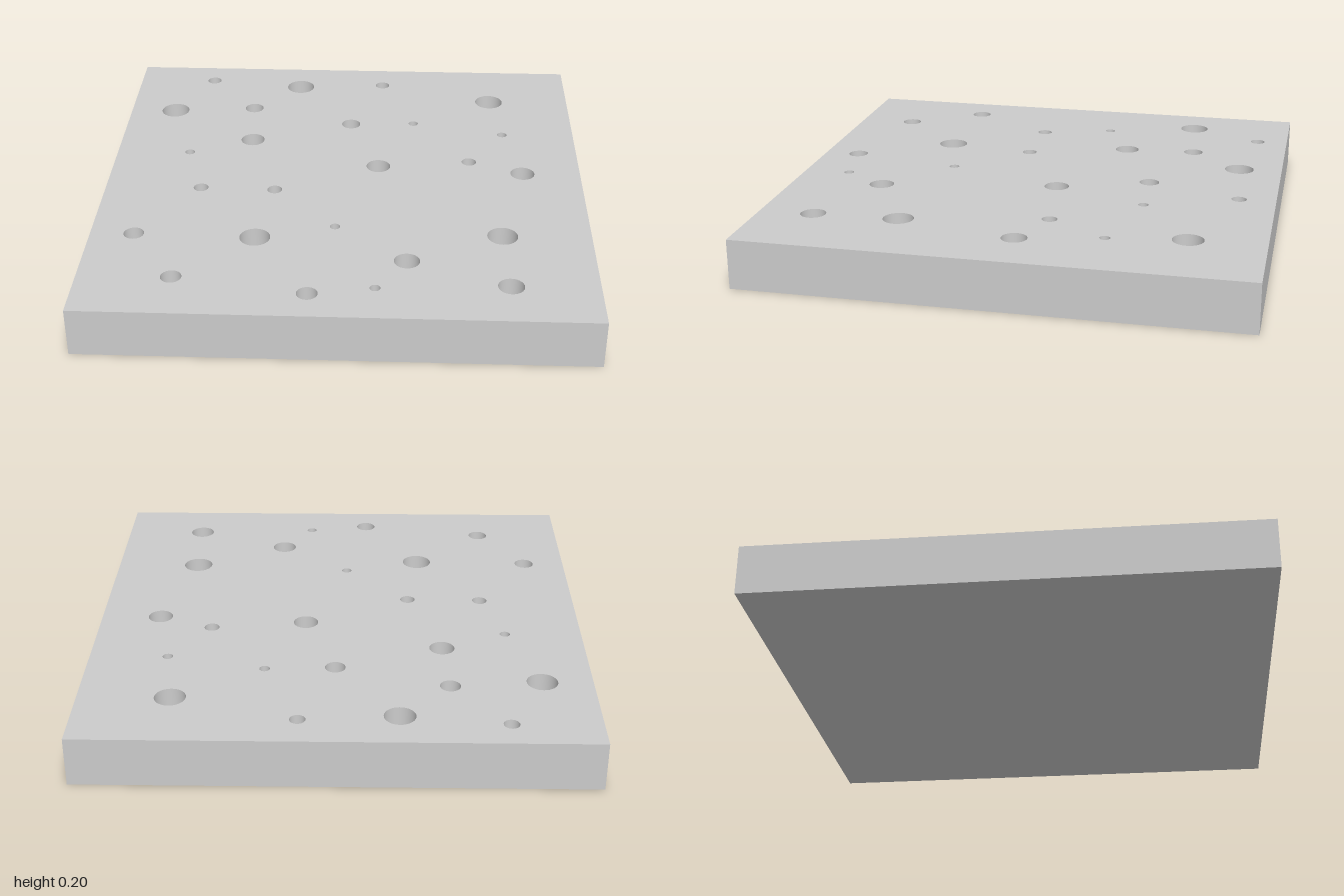
import * as THREE from 'three';

const HEIGHT = 0.2, DEPTH = 0.1, SEGMENTS = 40;

// Round wells grouped by radius: [x, z] centres
const WELLS = [
  { r: 0.0615, at: [[-0.24, -0.82], [-0.8, -0.565], [0.64, -0.7], [-0.34, 0.48], [0.645, 0.435]] },
  { r: 0.051, at: [[-0.42, -0.305], [0.14, -0.095], [0.755, -0.055], [0.265, 0.625], [0.66, 0.78]] },
  { r: 0.041, at: [[0.01, -0.465], [-0.44, -0.6], [-0.825, 0.47], [-0.635, 0.765], [-0.11, 0.855]] },
  { r: 0.031, at: [[-0.655, -0.87], [0.145, -0.85], [0.53, -0.145], [-0.6, 0.11], [-0.29, 0.115]] },
  { r: 0.021, at: [[0.29, -0.48], [0.685, -0.39], [-0.685, -0.185], [-0.025, 0.39], [0.145, 0.81]] },
];

export function createModel() {
  const group = new THREE.Group();
  const material = new THREE.MeshStandardMaterial({ color: 0xcccccc });
  const add = (name, geometry, parent = group) => {
    const mesh = new THREE.Mesh(geometry, material);
    mesh.name = name;
    parent.add(mesh);
    return mesh;
  };

  // Top face, pierced by the wells (shape y becomes -z)
  const top = new THREE.Shape();
  top.moveTo(-1, -1).lineTo(1, -1).lineTo(1, 1).lineTo(-1, 1).closePath();

  // Blind wells: inward-facing wall and flat floor
  const wells = new THREE.Group();
  wells.name = 'wells';
  group.add(wells);
  for (const { r, at } of WELLS) {
    const wall = new THREE.LatheGeometry(
      [new THREE.Vector2(r, 0), new THREE.Vector2(r, -DEPTH)], SEGMENTS);
    const floor = new THREE.CircleGeometry(r, SEGMENTS).rotateX(-Math.PI / 2);
    for (const [x, z] of at) {
      top.holes.push(new THREE.Path().absarc(x, -z, r, 0, Math.PI * 2, true));
      add('wellWall', wall, wells).position.set(x, HEIGHT, z);
      add('wellFloor', floor, wells).position.set(x, HEIGHT - DEPTH, z);
    }
  }
  add('topFace', new THREE.ShapeGeometry(top, SEGMENTS / 2).rotateX(-Math.PI / 2))
    .position.y = HEIGHT;

  // Four sides and the closed underside of the slab
  ['frontSide', 'leftSide', 'backSide', 'rightSide'].forEach((name, i) => {
    add(name, new THREE.PlaneGeometry(2, HEIGHT)
      .translate(0, HEIGHT / 2, 1).rotateY(i * Math.PI / 2));
  });
  add('underside', new THREE.PlaneGeometry(2, 2).rotateX(Math.PI / 2));

  return group;
}
